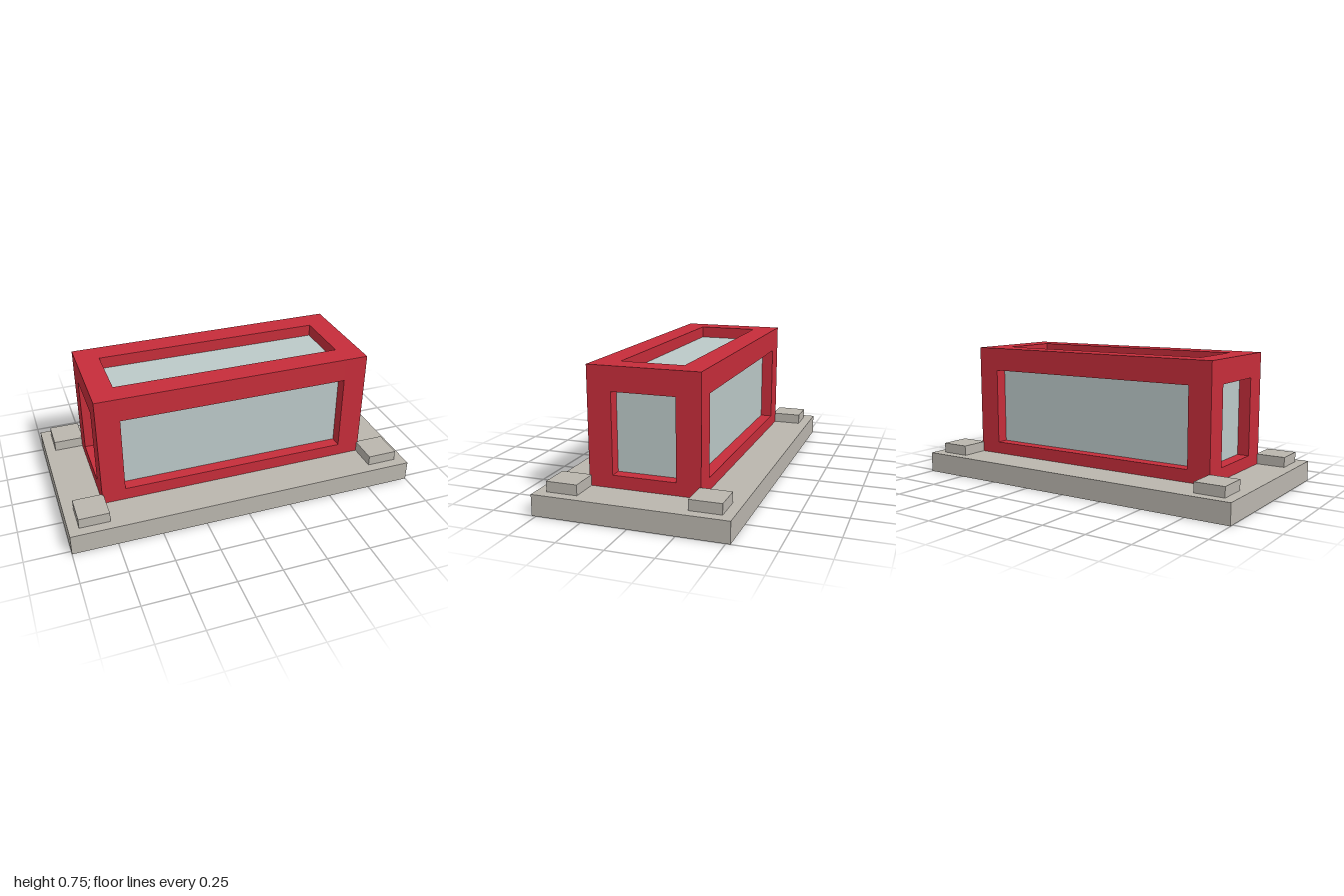
import * as THREE from 'three';

export function createModel() {
  const model = new THREE.Group();
  model.name = 'glazedPavilion';

  const mat = (name, color) => {
    const m = new THREE.MeshStandardMaterial({ color });
    m.name = name;
    return m;
  };
  const stone = mat('warm grey stone', 0xbab6ae);
  const red = mat('red frame', 0xc62d3a);
  const glass = mat('pale glass', 0xbbc9c8);

  // Box given by its min and max corners
  const box = (name, material, [x0, y0, z0], [x1, y1, z1], parent = model) => {
    const mesh = new THREE.Mesh(new THREE.BoxGeometry(x1 - x0, y1 - y0, z1 - z0), material);
    mesh.position.set((x0 + x1) / 2, (y0 + y1) / 2, (z0 + z1) / 2);
    mesh.name = name;
    parent.add(mesh);
  };

  const baseTop = 0.115, top = 0.754;
  const X = 0.779, Z = 0.305;         // outer half sizes of the frame
  const x = 0.648, z = 0.173;         // half sizes of the openings
  const sill = 0.184, head = 0.622;   // bottom and top of the openings
  const inset = 0.067;                // how far the glass sits back

  // Base slab
  box('baseSlab', stone, [-1, 0, -0.524], [1, baseTop, 0.524]);

  // Corner pads
  for (const sx of [-1, 1]) {
    for (const sz of [-1, 1]) {
      const px = sx * 0.857, pz = sz * 0.381;
      box('cornerPad', stone, [px - 0.085, baseTop, pz - 0.086], [px + 0.085, 0.172, pz + 0.086]);
    }
  }

  // Frame: four posts with rails between them at sill and head
  const frame = new THREE.Group();
  frame.name = 'frame';
  model.add(frame);
  const spans = (inner, outer) => [[-outer, -inner], [inner, outer]];
  for (const [xa, xb] of spans(x, X)) {
    for (const [za, zb] of spans(z, Z)) {
      box('cornerPost', red, [xa, baseTop, za], [xb, top, zb], frame);
    }
  }
  for (const [ya, yb] of [[baseTop, sill], [head, top]]) {
    for (const [za, zb] of spans(z, Z)) box('longRail', red, [-x, ya, za], [x, yb, zb], frame);
    for (const [xa, xb] of spans(x, X)) box('endRail', red, [xa, ya, -z], [xb, yb, z], frame);
  }

  // Recessed glass filling every opening
  box('glassCore', glass, [-X + inset, baseTop, -Z + inset], [X - inset, top - inset, Z - inset]);

  return model;
}
